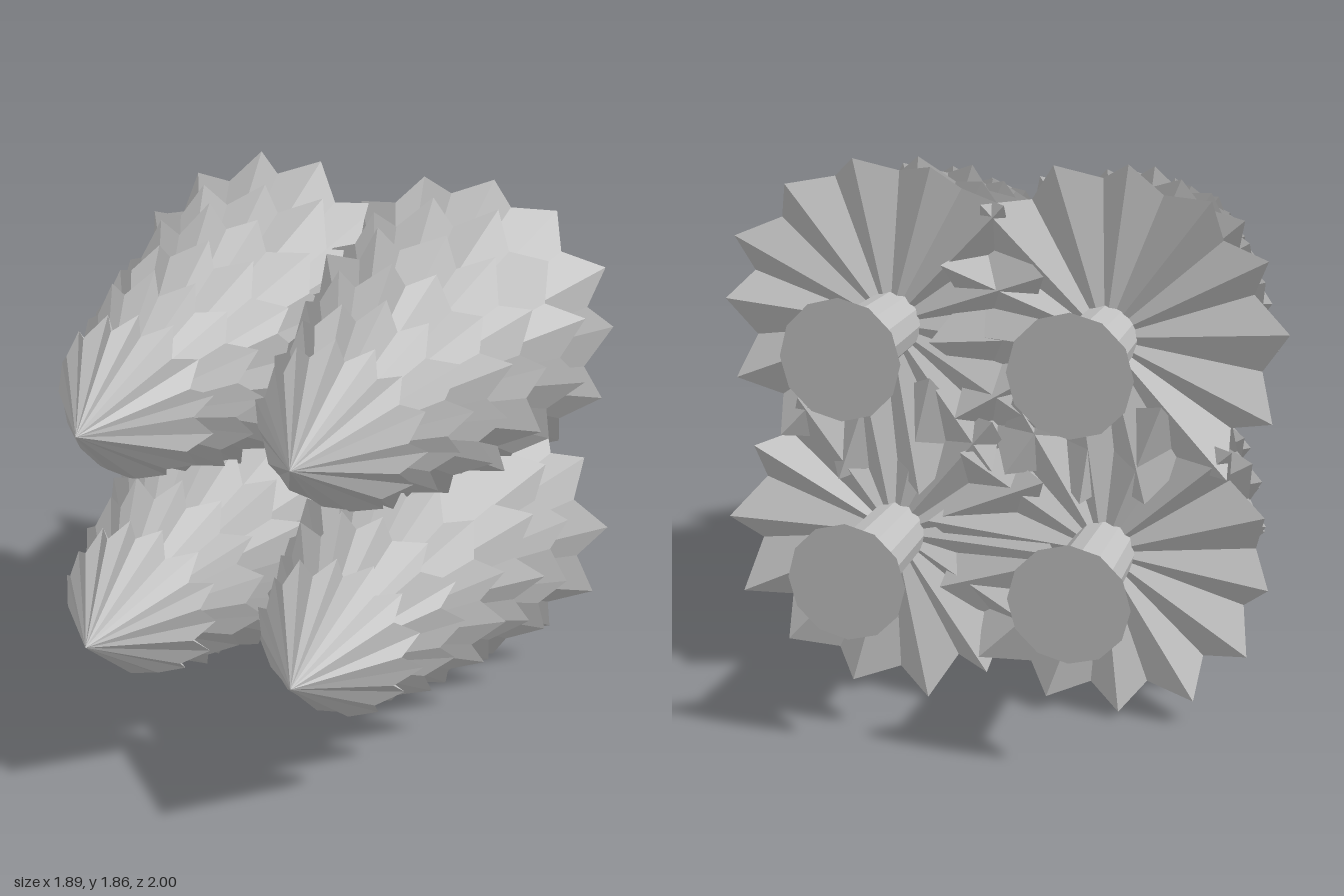
import * as THREE from 'three';

const TEETH = 14;

// small seeded generator, values 0..1
function seeded(seed) {
  let s = seed;
  return () => (s = (s * 16807) % 2147483647) / 2147483647;
}

// One skirt of branches: a pleated cone along +z with jagged rim and pleated underside
function skirtGeometry(radius, length, phase, rand) {
  const rim = [];
  const step = Math.PI / TEETH;
  for (let i = 0; i < TEETH * 2; i++) {
    const tip = i % 2 === 0;
    const r = radius * (tip ? 0.95 + rand() * 0.08 : 0.83 + rand() * 0.05);
    const a = phase + i * step + (rand() - 0.5) * 0.08;
    const z = tip ? rand() * 0.015 : 0.075 + rand() * 0.02;
    rim.push([Math.cos(a) * r, Math.sin(a) * r, z]);
  }
  const apex = [0, 0, length];
  const centre = [0, 0, 0.04];
  const pos = [];
  rim.forEach((p, i) => {
    const q = rim[(i + 1) % rim.length];
    pos.push(...apex, ...p, ...q, ...centre, ...q, ...p);
  });
  const g = new THREE.BufferGeometry();
  g.setAttribute('position', new THREE.Float32BufferAttribute(pos, 3));
  g.computeVertexNormals();
  return g;
}

export function createModel() {
  const grey = new THREE.MeshStandardMaterial({ color: 0xc0c0c0 });
  grey.name = 'grey';
  grey.flatShading = true;

  // trunk with flared foot, turned to lie along z
  const trunkGeo = new THREE.LatheGeometry([
    [0, -1], [0.195, -1], [0.115, -0.91], [0.102, -0.4], [0, -0.4],
  ].map(([r, y]) => new THREE.Vector2(r, y)), 12).rotateX(Math.PI / 2);

  const radii = [0.29, 0.355, 0.42, 0.475, 0.53, 0.58];

  function makeTree(x, y, phaseDeg, seed) {
    const tree = new THREE.Group();
    tree.name = 'tree';
    const rand = seeded(seed);
    for (let i = 0; i < 10; i++) rand();
    radii.forEach((r, i) => {
      const stagger = ((radii.length - 1 - i) % 2) * (Math.PI / TEETH);
      const geo = skirtGeometry(r, 0.41 + i * 0.06, THREE.MathUtils.degToRad(phaseDeg) + stagger, rand);
      const skirt = new THREE.Mesh(geo, grey);
      skirt.name = 'branchLayer' + (i + 1);
      skirt.position.z = 0.59 - i * 0.2335;
      tree.add(skirt);
    });
    const trunk = new THREE.Mesh(trunkGeo, grey);
    trunk.name = 'trunk';
    tree.add(trunk);
    tree.position.set(x, y, 0);
    return tree;
  }

  // four trees lying on their sides, two by two, tops toward the front
  const model = new THREE.Group();
  model.name = 'stackedTrees';
  model.add(
    makeTree(-0.355, 1.33, 73, 11),
    makeTree(0.365, 1.33, 81, 257),
    makeTree(-0.355, 0.605, 187, 4099),
    makeTree(0.365, 0.605, 285, 70001),
  );
  return model;
}
